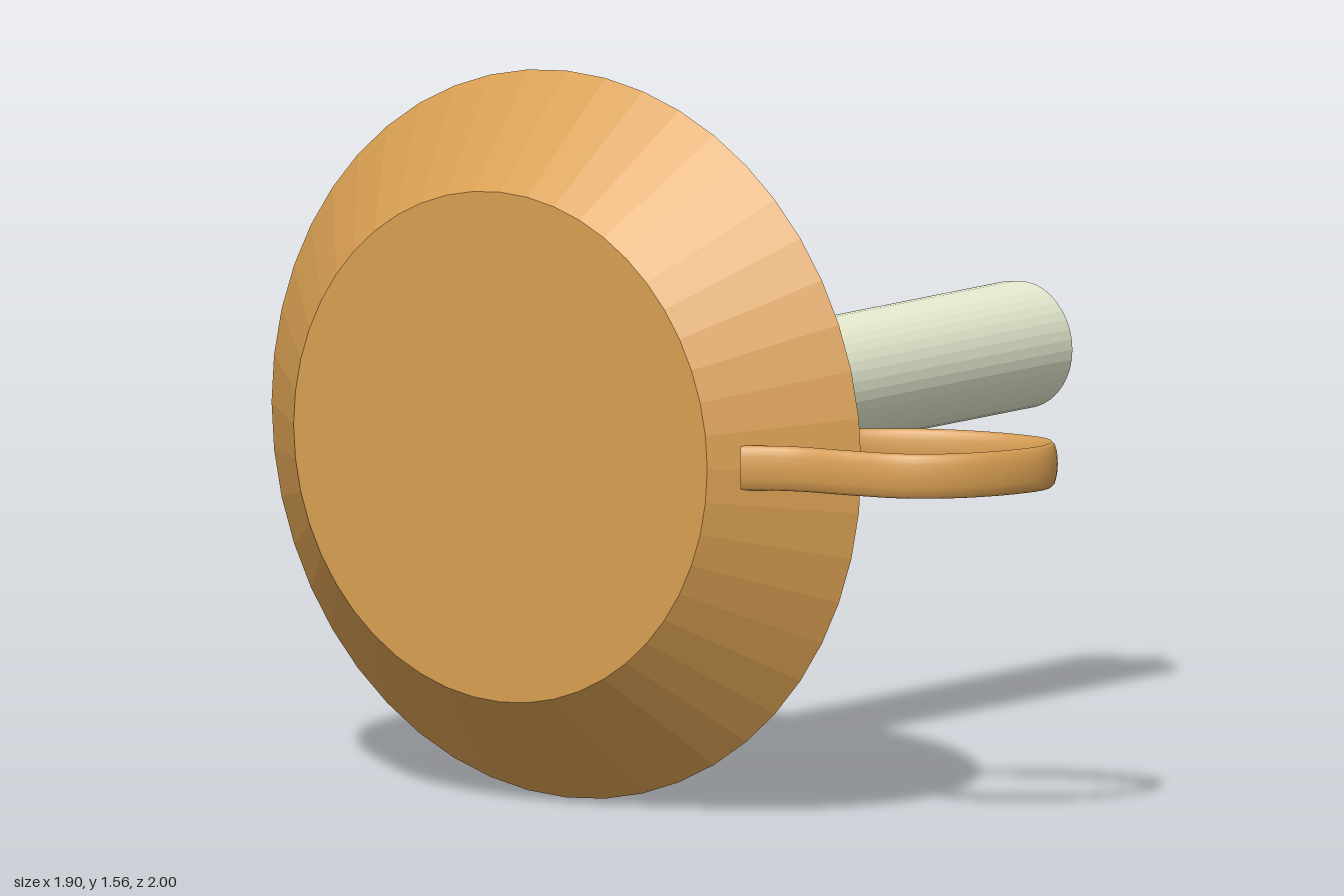
import * as THREE from 'three';

const brass = new THREE.MeshStandardMaterial({ color: 0xd99f52, flatShading: true, side: THREE.DoubleSide });
const brassSmooth = new THREE.MeshStandardMaterial({ color: 0xd99f52, side: THREE.DoubleSide });
const wax = new THREE.MeshStandardMaterial({ color: 0xe6ebd0, flatShading: true, side: THREE.DoubleSide });
const black = new THREE.MeshStandardMaterial({ color: 0x0a0a0a });

function lathe(name, points, material, segments = 40) {
  const profile = points.map(([r, h]) => new THREE.Vector2(r, h));
  const mesh = new THREE.Mesh(new THREE.LatheGeometry(profile, segments), material);
  mesh.name = name;
  return mesh;
}

function tube(name, points, radius, segments, sides, material) {
  const curve = new THREE.CatmullRomCurve3(points.map((p) => new THREE.Vector3(...p)));
  const mesh = new THREE.Mesh(new THREE.TubeGeometry(curve, segments, radius, sides), material);
  mesh.name = name;
  return mesh;
}

export function createModel() {
  const model = new THREE.Group();
  model.name = 'candleHolder';

  // Turned parts share one axis, laid along -z
  const turned = new THREE.Group();
  turned.name = 'turnedParts';
  turned.rotation.x = -Math.PI / 2;
  turned.position.set(-0.175, 0.78, 1);
  model.add(turned);

  // Dish with a thin flared wall
  turned.add(lathe('dish', [
    [0, 0], [0.547, 0], [0.78, 0.235], [0.762, 0.235], [0.56, 0.03], [0, 0.03],
  ], brass, 48));

  // Socket with two grooved collars
  turned.add(lathe('socket', [
    [0.26, 0.02], [0.26, 0.285], [0.21, 0.335], [0.26, 0.385], [0.155, 0.385],
    [0.155, 0.495], [0.26, 0.495], [0.21, 0.545], [0.26, 0.595], [0, 0.595],
  ], brass));

  // Candle with a melted hollow and a notch in its rim
  const candle = lathe('candle', [
    [0.1375, 0.58], [0.1375, 1.85], [0.132, 1.85], [0.122, 1.82], [0.08, 1.785], [0, 1.77],
  ], wax, 40);
  const pos = candle.geometry.attributes.position;
  for (let i = 0; i < pos.count; i++) {
    if (pos.getY(i) > 1.84 && pos.getZ(i) > 0) {
      const drop = Math.max(0, 0.032 - 0.75 * Math.abs(pos.getX(i) + 0.015));
      pos.setY(i, pos.getY(i) - drop);
    }
  }
  turned.add(candle);

  // Wick, drooping at its tip
  const wick = tube('wick', [
    [-0.175, 0.782, -0.76], [-0.175, 0.784, -0.86], [-0.175, 0.784, -0.95],
    [-0.175, 0.78, -0.985], [-0.175, 0.768, -0.992],
  ], 0.008, 16, 8, black);
  model.add(wick);

  // Strap handle: a flat loop from the dish floor out and back under the wall
  const handle = tube('handle', [
    [0.19, 0, 0.965], [0.26, 0, 0.945], [0.32, 0, 0.88], [0.37, 0, 0.77], [0.42, 0, 0.68],
    [0.5, 0, 0.58], [0.63, 0, 0.5], [0.78, 0, 0.465], [0.89, 0, 0.48], [0.935, 0, 0.55],
    [0.92, 0, 0.65], [0.86, 0, 0.76], [0.77, 0, 0.835], [0.65, 0, 0.867],
    [0.52, 0, 0.89], [0.42, 0, 0.945],
  ], 0.013, 72, 12, brassSmooth);
  handle.geometry.scale(1, 0.048 / 0.013, 1);
  handle.position.y = 0.782;
  model.add(handle);

  return model;
}
